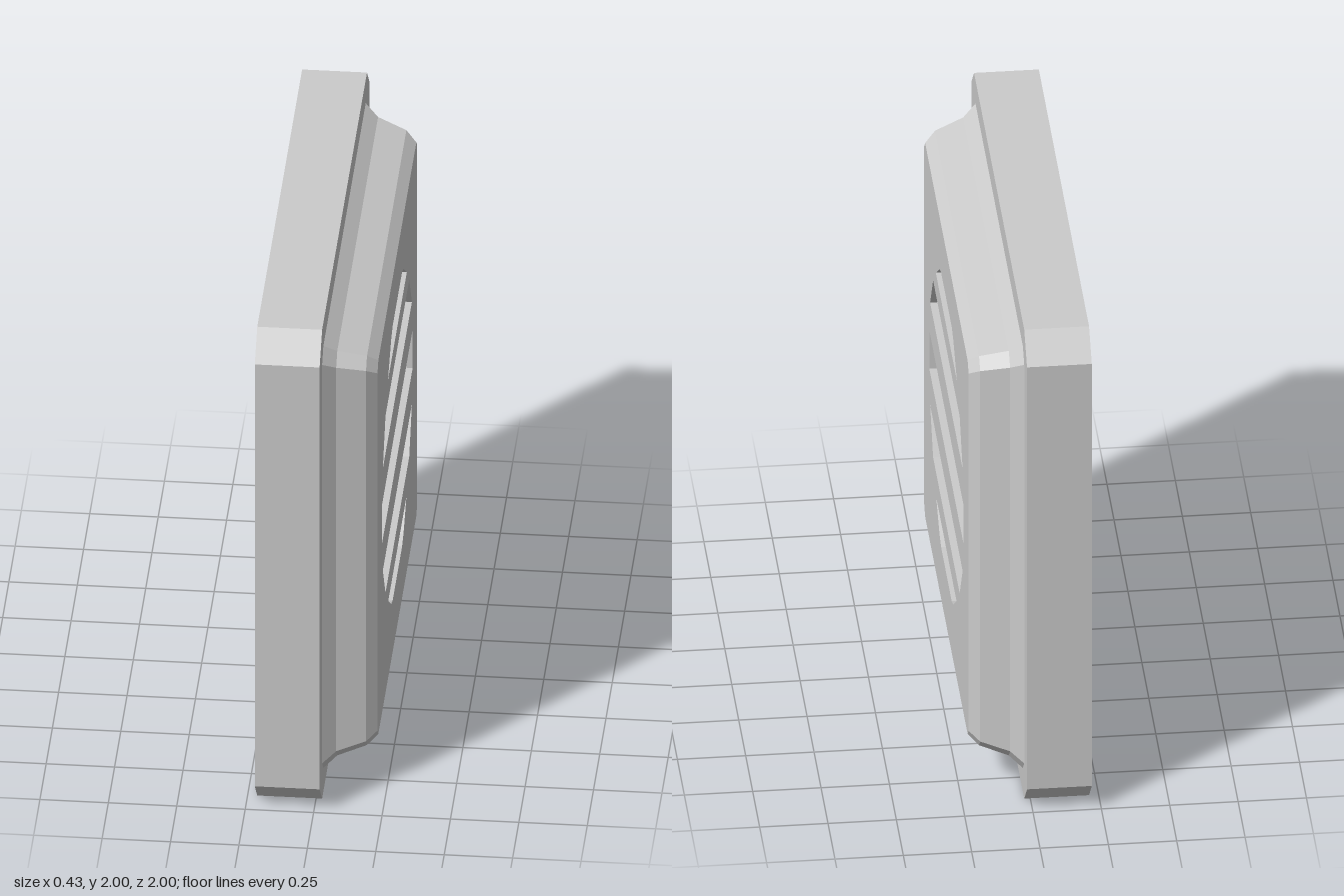
import * as THREE from 'three';

const grey = new THREE.MeshStandardMaterial({ color: 0xcccccc, flatShading: true, side: THREE.DoubleSide });
const pink = new THREE.MeshStandardMaterial({ color: 0xc983be, flatShading: true, side: THREE.DoubleSide });

const FRONT = 0.215, BACK = -0.215, RIM = 0.022, POCKET = 0.06;

// Square outline of half-size h with corners cut by c, counter-clockwise in (u, v)
function cutSquare(h, c) {
  const k = h - c;
  return [[h, -k], [h, k], [k, h], [-k, h], [-h, k], [-h, -k], [-k, -h], [k, -h]];
}

// Skin joining equal-length outlines placed at successive x; u runs along -z, v along y
function loft(rings) {
  const pos = [];
  const at = ({ x, pts }, i) => {
    const [u, v] = pts[i % pts.length];
    return [x, v, -u];
  };
  for (let r = 0; r < rings.length - 1; r++) {
    for (let i = 0; i < rings[r].pts.length; i++) {
      const a = at(rings[r], i), b = at(rings[r], i + 1);
      const c = at(rings[r + 1], i + 1), d = at(rings[r + 1], i);
      pos.push(...a, ...b, ...c, ...a, ...c, ...d);
    }
  }
  const g = new THREE.BufferGeometry();
  g.setAttribute('position', new THREE.Float32BufferAttribute(pos, 3));
  g.computeVertexNormals();
  return g;
}

const toVectors = (pts) => pts.map(([u, v]) => new THREE.Vector2(u, v));

// Flat sheet facing +x
function sheet(pts, x, holes = []) {
  const shape = new THREE.Shape(toVectors(pts));
  for (const h of holes) shape.holes.push(new THREE.Path(toVectors(h).reverse()));
  return new THREE.ShapeGeometry(shape).rotateY(Math.PI / 2).translate(x, 0, 0);
}

// Mirror-symmetric slot outline from its right side, listed bottom to top
function slot(side) {
  return [...side, ...side.map(([u, v]) => [-u, v]).reverse()];
}

export function createModel() {
  const group = new THREE.Group();
  const add = (name, geometry, material = grey) => {
    const mesh = new THREE.Mesh(geometry, material);
    mesh.name = name;
    mesh.position.y = 1;
    group.add(mesh);
  };

  // Open-backed frame with its front flange
  const base = cutSquare(0.9, 0.05);
  add('frame', loft([
    { x: BACK, pts: cutSquare(1, 0.1) },
    { x: RIM, pts: cutSquare(1, 0.1) },
    { x: RIM, pts: base },
  ]));

  // Moulded slope rising to the front panel
  const top = cutSquare(0.797, 0.035);
  add('moulding', loft([
    { x: RIM, pts: base },
    { x: 0.07, pts: cutSquare(0.863, 0.045) },
    { x: 0.176, pts: cutSquare(0.83, 0.04) },
    { x: FRONT, pts: top },
  ]));

  // Grille slots cut from a rounded outline
  const slots = [
    slot([[0.38, 0.476], [0.245, 0.573], [0.19, 0.593]]),
    slot([[0.583, 0.225], [0.476, 0.385]]),
    slot([[0.613, -0.075], [0.613, 0.09]]),
    slot([[0.476, -0.37], [0.583, -0.21]]),
    slot([[0.19, -0.578], [0.245, -0.558], [0.366, -0.472]]),
  ];
  add('frontPanel', sheet(top, FRONT, slots));

  // Shallow pockets with coloured floors
  for (const pts of slots) {
    add('slotWall', loft([{ x: FRONT, pts }, { x: FRONT - POCKET, pts }]));
    add('slotFloor', sheet(pts, FRONT - POCKET), pink);
  }
  return group;
}
